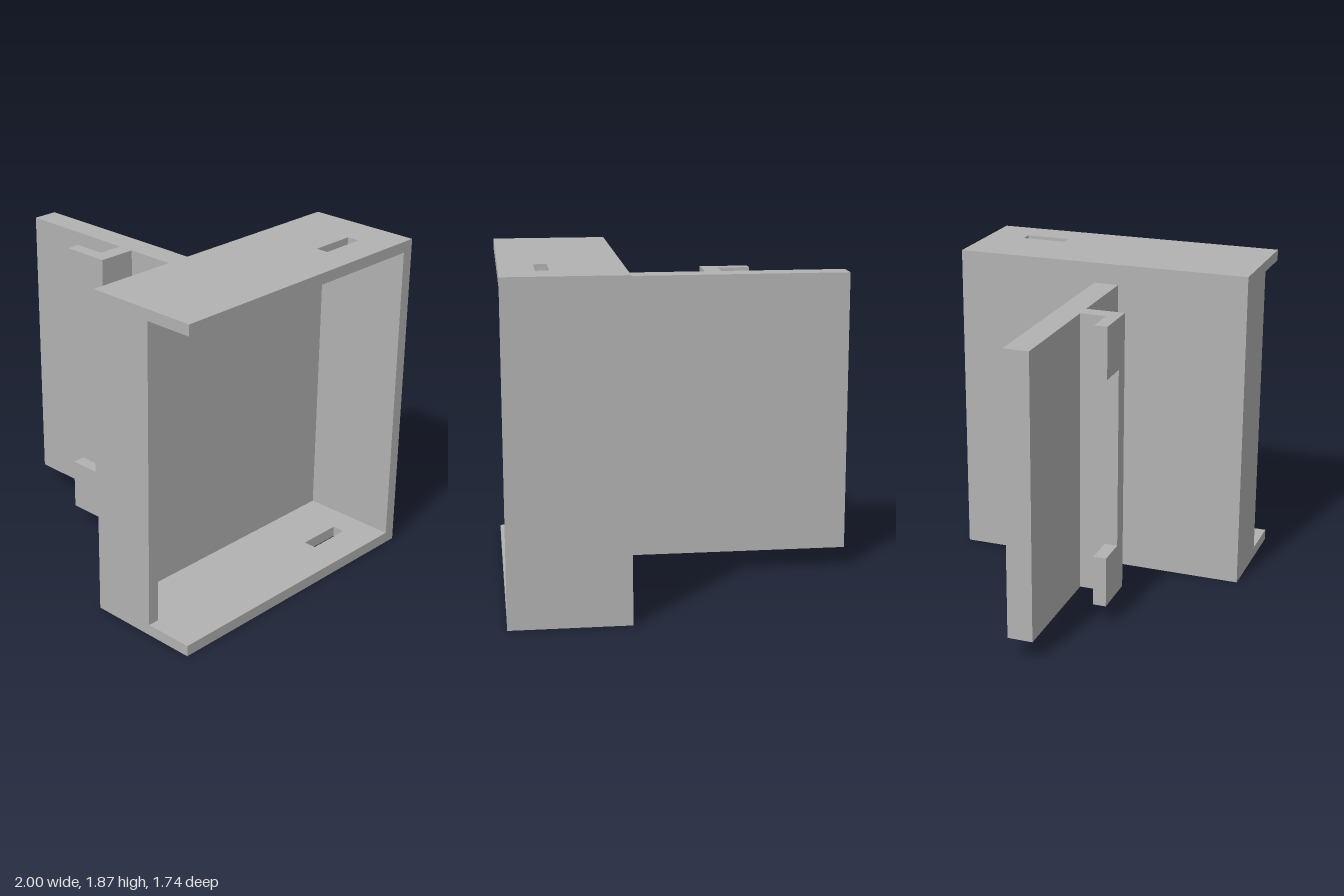
import * as THREE from 'three';

export function createModel() {
  const group = new THREE.Group();
  const grey = new THREE.MeshStandardMaterial({ color: 0xb2b2b2 });
  grey.name = 'grey';

  const add = (name, geometry) => {
    const mesh = new THREE.Mesh(geometry, grey);
    mesh.name = name;
    group.add(mesh);
    return mesh;
  };
  // Box given by its limits on each axis
  const block = (name, [x0, x1], [y0, y1], [z0, z1]) =>
    add(name, new THREE.BoxGeometry(x1 - x0, y1 - y0, z1 - z0))
      .position.set((x0 + x1) / 2, (y0 + y1) / 2, (z0 + z1) / 2);
  // Rectangle outline, counter-clockwise
  const rect = (PathType, x0, x1, y0, y1) => new PathType([
    [x0, y0], [x1, y0], [x1, y1], [x0, y1],
  ].map(([x, y]) => new THREE.Vector2(x, y)));

  const height = 1.87, wall = 0.063, depth = 0.87;
  const inner = [wall, height - wall];

  // Top and bottom of the housing, each with a slot (shape y becomes -z)
  const slotted = rect(THREE.Shape, 0.333, 1, -depth, depth);
  slotted.holes.push(rect(THREE.Path, 0.737, 0.81, 0.38, 0.643));
  const cover = new THREE.ExtrudeGeometry(slotted, { depth: wall, bevelEnabled: false });
  cover.rotateX(-Math.PI / 2);
  add('housingBottom', cover);
  add('housingTop', cover).position.y = height - wall;

  // Housing walls, open towards +x, with a shorter front wall
  block('housingWeb', [0.333, 0.44], inner, [-depth, depth]);
  block('housingBackWall', [0.44, 1], inner, [-depth, -0.803]);
  block('housingFrontWall', [0.44, 0.717], inner, [0.803, depth]);

  // Flat side plate
  const span = [0.122, 1.752];
  block('sidePlate', [-1, 0.333], span, [-0.038, 0.107]);

  // Hook rail with a lip at each end
  block('hookStem', [-0.28, -0.187], span, [0.107, 0.33]);
  block('lowerHookLip', [-0.465, -0.28], [span[0], 0.416], [0.255, 0.33]);
  block('upperHookLip', [-0.465, -0.28], [1.458, span[1]], [0.255, 0.33]);

  return group;
}
